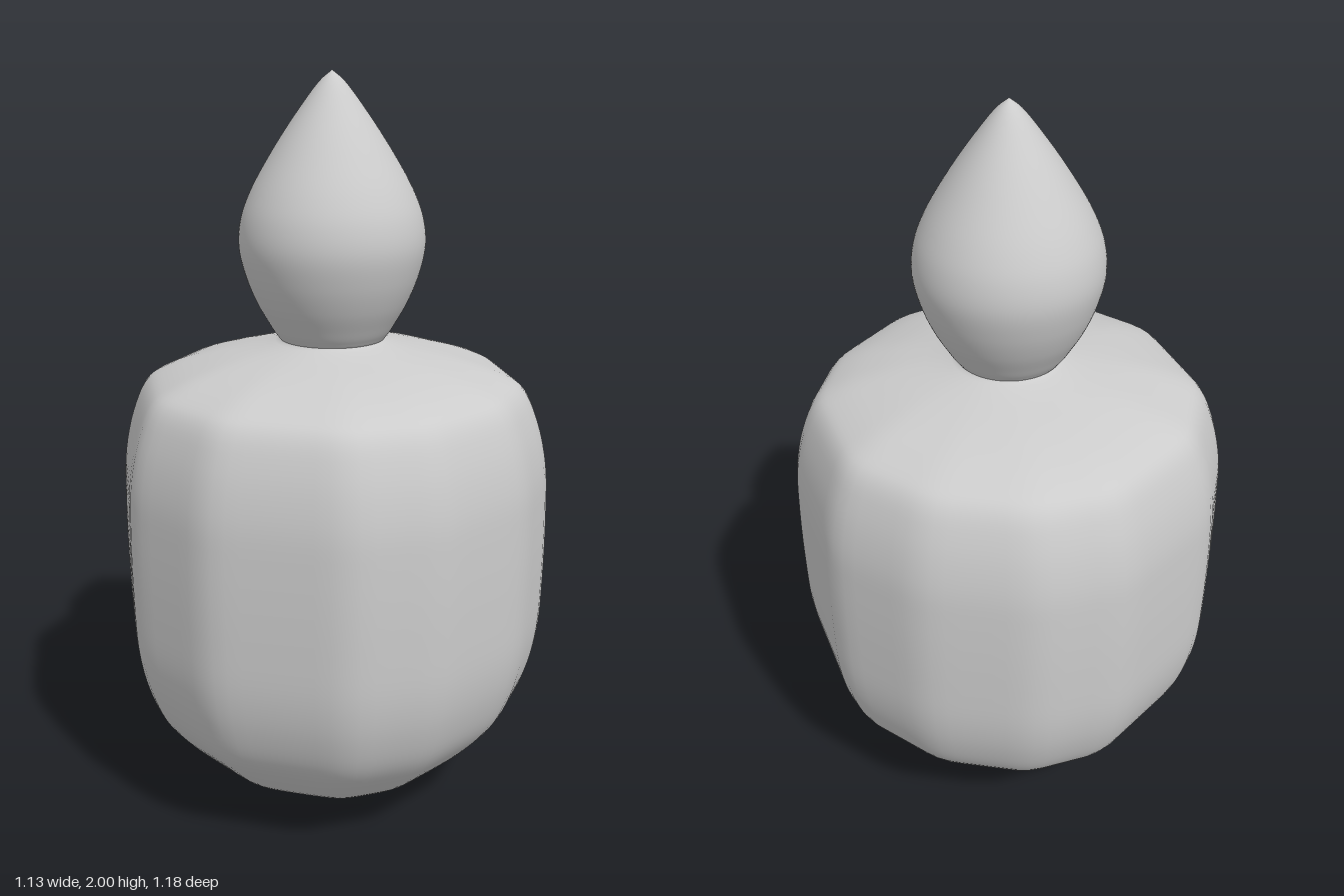
import * as THREE from 'three';
import { mergeVertices } from 'three/addons/utils/BufferGeometryUtils.js';

// Softly faceted plan of the body: corner positions as [x, z]
const PLAN = [
  [0.565, 0.18], [0.43, 0.39], [0.17, 0.56], [-0.07, 0.59], [-0.40, 0.43], [-0.56, 0.18],
  [-0.56, -0.19], [-0.40, -0.43], [-0.08, -0.59], [0.16, -0.575], [0.41, -0.425], [0.565, -0.19],
];

// Distance from the axis to the plan outline in direction a
function planRadius(a) {
  const dx = Math.cos(a), dz = Math.sin(a);
  for (let i = 0; i < PLAN.length; i++) {
    const [px, pz] = PLAN[i], [qx, qz] = PLAN[(i + 1) % PLAN.length];
    const c0 = px * dz - pz * dx, c1 = dx * qz - dz * qx;
    if (c0 >= 0 && c1 >= 0 && px * dx + pz * dz > 0) {
      return (px * qz - pz * qx) / (dx * (qz - pz) - dz * (qx - px));
    }
  }
  return 0.58;
}

// Outline with slightly rounded corners
function softRadius(a) {
  let sum = 0;
  for (let k = -2; k <= 2; k++) sum += planRadius(a + k * 0.035);
  return sum / 5;
}

// Smooth profile through [radius, height] points
function profile(points, n) {
  const curve = new THREE.CatmullRomCurve3(points.map(([r, y]) => new THREE.Vector3(r, y, 0)), false, 'centripetal');
  return curve.getPoints(n).map((p) => new THREE.Vector2(Math.max(0, p.x), p.y));
}

// Lathe welded at its seam, with an optional rule that moves each vertex
function turned(name, points, rule) {
  let geo = new THREE.LatheGeometry(profile(points, 80), 96);
  geo.deleteAttribute('uv');
  geo.deleteAttribute('normal');
  geo = mergeVertices(geo, 1e-5);
  const pos = geo.attributes.position;
  const v = new THREE.Vector3();
  if (rule) {
    for (let i = 0; i < pos.count; i++) {
      rule(v.fromBufferAttribute(pos, i));
      pos.setXYZ(i, v.x, v.y, v.z);
    }
  }
  geo.computeVertexNormals();
  const mesh = new THREE.Mesh(geo, new THREE.MeshStandardMaterial({ color: 0xcccccc }));
  mesh.name = name;
  return mesh;
}

export function createModel() {
  const model = new THREE.Group();
  model.name = 'candle';

  // Wax body: rounded base, faceted sides, sloping shoulder up to the neck
  const body = turned('waxBody', [
    [0, 0], [0.09, 0.005], [0.17, 0.03], [0.25, 0.07], [0.34, 0.115], [0.43, 0.20], [0.50, 0.29],
    [0.54, 0.39], [0.562, 0.50], [0.569, 0.65], [0.569, 0.85], [0.562, 0.98], [0.535, 1.10],
    [0.495, 1.185], [0.44, 1.22], [0.32, 1.262], [0.15, 1.305], [0.138, 1.315], [0.138, 1.34],
  ], (v) => {
    const r = Math.hypot(v.x, v.z);
    if (r < 1e-4) return;
    // Facets fade out towards the axis
    const blend = THREE.MathUtils.smoothstep(r, 0.15, 0.42);
    const s = 1 + blend * (softRadius(Math.atan2(v.z, v.x)) / 0.567 - 1);
    v.x *= s;
    v.z *= s;
  });

  // Teardrop flame
  const flame = turned('flame', [
    [0, 1.30], [0.13, 1.305], [0.150, 1.325], [0.172, 1.36], [0.200, 1.41], [0.228, 1.48], [0.245, 1.56],
    [0.238, 1.63], [0.212, 1.70], [0.155, 1.80], [0.088, 1.90], [0.030, 1.975], [0, 2.0],
  ]);

  model.add(body, flame);
  return model;
}
